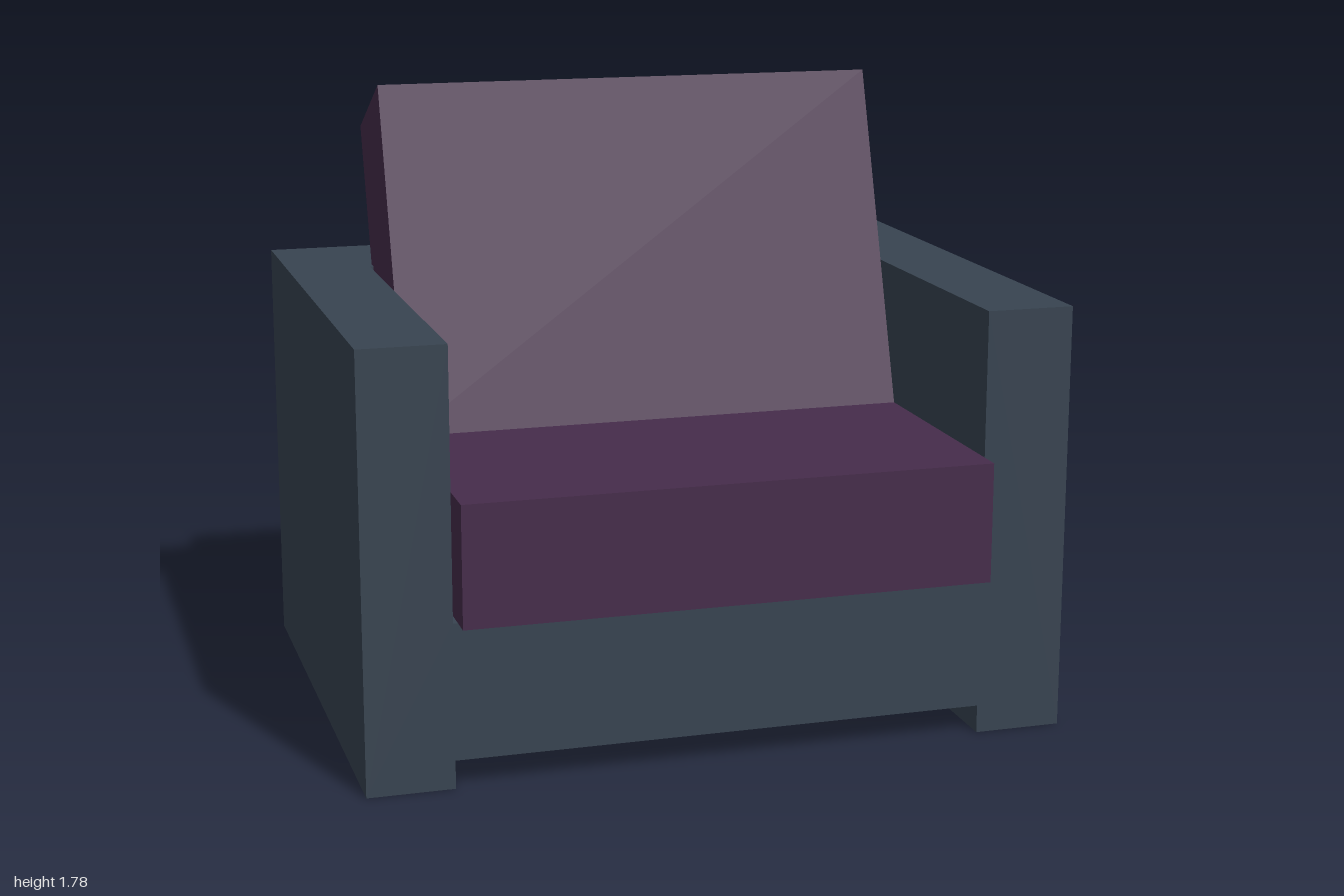
import * as THREE from 'three';

const bodyMaterial = new THREE.MeshStandardMaterial({ color: 0x384451 });
const cushionMaterial = new THREE.MeshStandardMaterial({ color: 0x462c4b });

// Extrudes an outline of [x, y] points from z0 to z1 with sharp edges
function extrude(name, points, z0, z1, material) {
  const shape = new THREE.Shape(points.map(([x, y]) => new THREE.Vector2(x, y)));
  const geometry = new THREE.ExtrudeGeometry(shape, { depth: z1 - z0, bevelEnabled: false });
  geometry.translate(0, 0, z0);
  const mesh = new THREE.Mesh(geometry, material);
  mesh.name = name;
  return mesh;
}

// Box given by its minimum and maximum corners
function box(name, [x0, y0, z0], [x1, y1, z1], material) {
  const mesh = new THREE.Mesh(new THREE.BoxGeometry(x1 - x0, y1 - y0, z1 - z0), material);
  mesh.name = name;
  mesh.position.set((x0 + x1) / 2, (y0 + y1) / 2, (z0 + z1) / 2);
  return mesh;
}

export function createModel() {
  const group = new THREE.Group();
  group.name = 'armchair';

  // Arms and raised base share one H-shaped front outline
  group.add(extrude('armsAndBase', [
    [-1, 0], [-0.757, 0], [-0.757, 0.08], [0.75, 0.08], [0.75, 0], [1, 0],
    [1, 1.22], [0.75, 1.22], [0.75, 0.465], [-0.757, 0.465], [-0.757, 1.22], [-1, 1.22],
  ], -0.785, 0.715, bodyMaterial));

  // Back panel between the arms
  group.add(box('backPanel', [-0.757, 0.465, -0.785], [0.75, 1.22, -0.42], bodyMaterial));

  // Seat cushion, overhanging the front
  group.add(box('seatCushion', [-0.745, 0.467, -0.42], [0.748, 0.808, 0.785], cushionMaterial));

  // Reclined back cushion: side outline (-z, y) extruded across the width
  const backCushion = extrude('backCushion', [
    [-0.04, 0.805], [0.315, 0.805], [0.588, 1.62], [0.28, 1.777],
  ], -0.745, 0.748, cushionMaterial);
  backCushion.rotation.y = Math.PI / 2;
  group.add(backCushion);

  return group;
}
